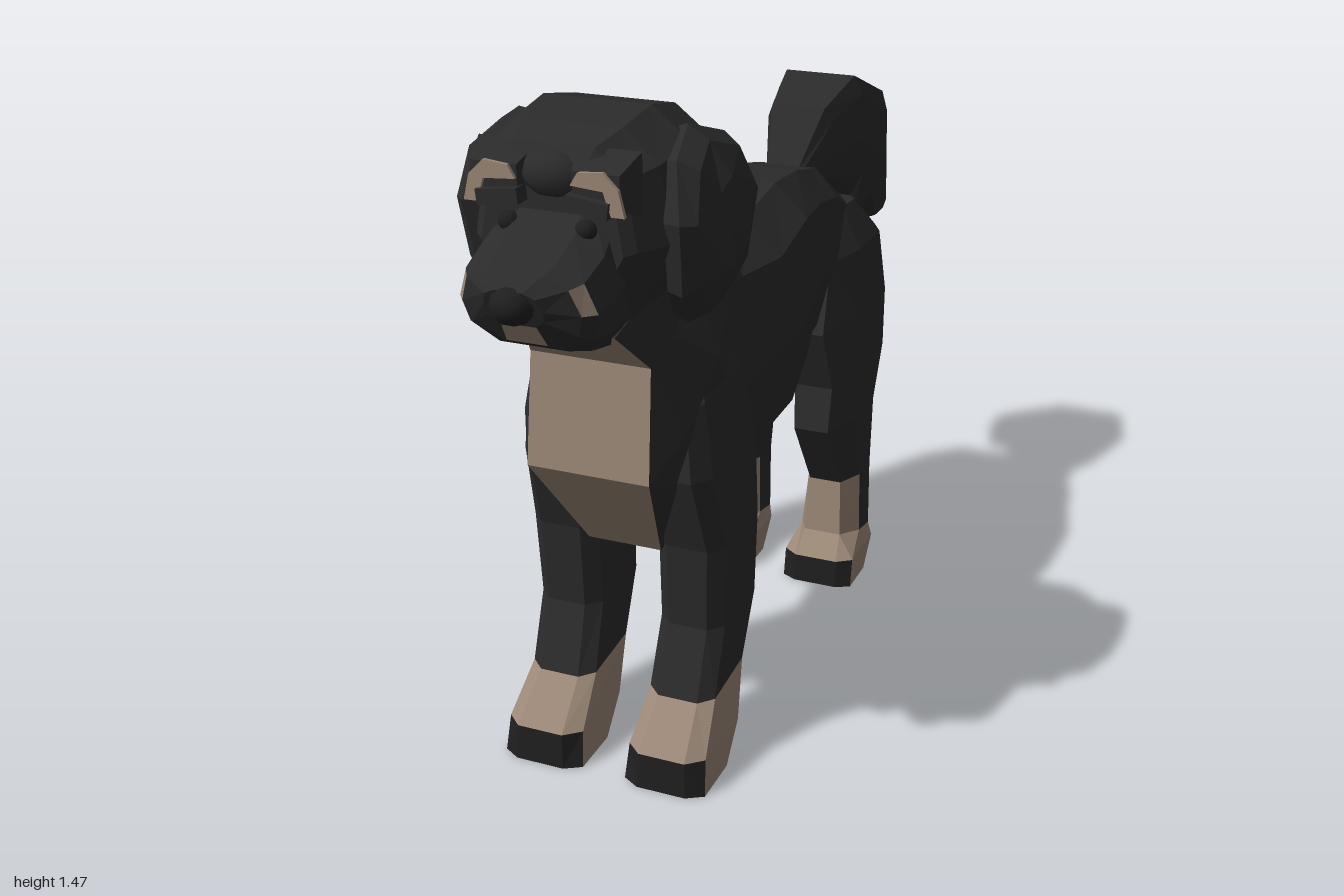
import * as THREE from 'three';

const mat = (name, color) => Object.assign(new THREE.MeshStandardMaterial({ color }), { name });

// Skin a list of rings (arrays of [x,y,z]) with flat facets. pick(segment, side) gives the
// material index; segment -1 and rings.length - 1 are the end caps.
function loft(name, rings, mats, pick = () => 0) {
  const n = rings[0].length, faces = [];
  const add = (m, ...p) => faces.push({ m, p });
  for (let i = 0; i < rings.length - 1; i++) {
    for (let k = 0; k < n; k++) {
      const a = rings[i][k], b = rings[i][(k + 1) % n], c = rings[i + 1][(k + 1) % n], d = rings[i + 1][k];
      add(pick(i, k), a, b, c);
      add(pick(i, k), a, c, d);
    }
  }
  const cap = (r, m, flip) => {
    const mid = [0, 1, 2].map(j => r.reduce((s, p) => s + p[j], 0) / n);
    r.forEach((p, k) => (flip ? add(m, mid, r[(k + 1) % n], p) : add(m, mid, p, r[(k + 1) % n])));
  };
  cap(rings[0], pick(-1, 0), true);
  cap(rings[rings.length - 1], pick(rings.length - 1, 0), false);
  // Signed volume tells whether the corners must be reversed
  let vol = 0;
  for (const { p: [a, b, c] } of faces) {
    vol += a[0] * (b[1] * c[2] - b[2] * c[1]) + a[1] * (b[2] * c[0] - b[0] * c[2]) + a[2] * (b[0] * c[1] - b[1] * c[0]);
  }
  const pos = [], g = new THREE.BufferGeometry();
  mats.forEach((_, m) => {
    const start = pos.length / 3;
    for (const f of faces) if (f.m === m) pos.push(...(vol < 0 ? [...f.p].reverse() : f.p).flat());
    g.addGroup(start, pos.length / 3 - start, m);
  });
  g.setAttribute('position', new THREE.Float32BufferAttribute(pos, 3));
  g.computeVertexNormals();
  const mesh = new THREE.Mesh(g, mats);
  mesh.name = name;
  return mesh;
}

// Ten-sided body section from a top point to a bottom point; side 4 is the underside strip
function slice([tz, ty, bz, by, w, flat = 0.6, low = 0.9, top = 0.45]) {
  const half = [[top, 0], [0.72 + 0.28 * top, 0.15], [1, 0.5], [low, 0.8], [flat, 1]];
  const all = [...half, ...half.map(([x, u]) => [-x, u]).reverse()];
  return all.map(([x, u]) => [x * w, ty + (by - ty) * u, tz + (bz - tz) * u]);
}

// Eight-sided leg section; side 0 faces forward. Rows are [backY, frontY, x0, x1, z0, z1]
function legRing([yb, yf, x0, x1, z0, z1], s, shoulder) {
  return [[0.2, 1], [0.8, 1], [1, shoulder], [1, 0.15], [0.8, 0], [0.2, 0], [0, 0.15], [0, shoulder]]
    .map(([u, v]) => [s * (x0 + (x1 - x0) * u), yb + (yf - yb) * v, z0 + (z1 - z0) * v]);
}

export function createModel() {
  const root = new THREE.Group();
  root.name = 'dog';
  const black = mat('blackFur', 0x2b2b2b);
  const tan = mat('tanFur', 0x9a8776);
  const dark = mat('darkSkin', 0x1f1f1f);
  const coat = [black, tan];

  // Body, chest and neck in one skin, with a tan underside
  root.add(loft('body', [
    [-0.67, 0.9, -0.66, 0.7, 0.1],
    [-0.6, 0.98, -0.5, 0.67, 0.15],
    [-0.45, 1.07, -0.35, 0.66, 0.16],
    [-0.3, 1.105, -0.2, 0.65, 0.17],
    [-0.12, 1.125, -0.1, 0.62, 0.2, 0.45],
    [0.08, 1.1, 0, 0.55, 0.21, 0.4],
    [0.2, 1.11, 0.28, 0.48, 0.17, 0.4],
    [0.25, 1.12, 0.52, 0.5, 0.185, 0.45],
    [0.27, 1.15, 0.685, 0.73, 0.2, 0.67],
    [0.31, 1.19, 0.66, 0.97, 0.148, 0.88, 0.98],
    [0.36, 1.27, 0.75, 1.06, 0.13, 0.75],
  ].map(slice), coat, (i, k) => (k === 4 && i >= 3 && i <= 9 ? 1 : 0)));

  // Skull, broad enough on top to run into the ears
  root.add(loft('head', [
    [0.29, 1.2, 0.29, 1.13, 0.1],
    [0.38, 1.37, 0.38, 1.07, 0.18],
    [0.48, 1.45, 0.48, 1.045, 0.215],
    [0.6, 1.475, 0.6, 1.04, 0.225],
    [0.71, 1.455, 0.71, 1.04, 0.205],
    [0.78, 1.435, 0.79, 1.06, 0.165],
    [0.8, 1.405, 0.81, 1.08, 0.145],
  ].map(r => slice([...r, 0.4, 0.64, 0.5])), [black]));

  // Muzzle with tan cheek marks and chin
  root.add(loft('muzzle', [
    [0.76, 1.345, 0.72, 1.035, 0.13],
    [0.84, 1.285, 0.82, 1.06, 0.145],
    [0.915, 1.25, 0.885, 1.08, 0.14, 0.5],
    [0.945, 1.24, 0.91, 1.095, 0.12, 0.35],
    [0.975, 1.215, 0.94, 1.14, 0.06],
  ].map(slice), coat, (i, k) => ((k === 4 && i === 3) || (i === 2 && (k === 1 || k === 7)) ? 1 : 0)));

  const blob = (name, m, r, x, y, z, sx, sy, sz) => {
    const mesh = new THREE.Mesh(new THREE.IcosahedronGeometry(r, 1), m);
    mesh.name = name;
    mesh.position.set(x, y, z);
    mesh.scale.set(sx, sy, sz);
    root.add(mesh);
  };
  blob('nose', dark, 0.044, 0, 1.185, 0.957, 1, 0.9, 0.98);
  blob('forehead', black, 0.06, 0, 1.38, 0.79, 1.05, 0.75, 0.6);

  // Arched tan mark above each eye
  const arch = new THREE.Shape([[0.055, 1.375], [0.07, 1.4], [0.12, 1.405], [0.15, 1.375], [0.162, 1.325],
    [0.135, 1.325], [0.12, 1.37]].map(p => new THREE.Vector2(...p)));

  for (const s of [1, -1]) {
    const side = s > 0 ? 'left' : 'right';
    blob(side + 'Eye', dark, 0.022, s * 0.078, 1.29, 0.818, 1, 0.95, 0.8);

    const marking = new THREE.Mesh(new THREE.ExtrudeGeometry(arch, { depth: 0.009, bevelEnabled: false }), tan);
    marking.name = side + 'BrowMark';
    marking.position.z = 0.823;
    // Mirror the right mark by turning it about the vertical axis
    if (s < 0) {
      marking.rotation.y = Math.PI;
      marking.position.z = 0.832;
    }
    root.add(marking);

    // Tapered fur pad carrying the mark, and the brow below it
    const padRing = (x0, x1, y0, y1, z) => [[x0, y0, z], [x1, y0, z], [x1, y1, z], [x0, y1, z]].map(([x, y]) => [s * x, y, z]);
    root.add(loft(side + 'BrowPad', [
      padRing(0.04, 0.165, 1.31, 1.43, 0.76),
      padRing(0.055, 0.15, 1.335, 1.4, 0.824),
    ], [black]));
    const brow = new THREE.Mesh(new THREE.BoxGeometry(0.085, 0.03, 0.05), black);
    brow.name = side + 'Brow';
    brow.position.set(s * 0.09, 1.34, 0.815);
    brow.rotation.z = -s * 0.12;
    root.add(brow);

    // Drooping ear: a padded outline that curls inward at top and tip
    const outline = [[0.46, 1.4], [0.58, 1.44], [0.69, 1.4], [0.735, 1.29], [0.7, 1.14],
      [0.63, 1.065], [0.52, 1.045], [0.41, 1.12], [0.375, 1.28]];
    root.add(loft(side + 'Ear', [[0.19, 0.95], [0.225, 1], [0.25, 0.84], [0.262, 0.48]].map(([x, f]) =>
      outline.map(([z, y]) => {
        const yy = 1.26 + (y - 1.26) * f;
        const curl = 0.25 * Math.max(0, 1.18 - yy) + 0.6 * Math.max(0, yy - 1.36);
        return [s * (x - curl), yy, 0.56 + (z - 0.56) * f];
      })), [black]));

    // Front leg with tan paw, dark toes and sole
    root.add(loft(side + 'FrontLeg', [
      [0.95, 0.93, 0.07, 0.165, 0.34, 0.54],
      [0.86, 0.86, 0.06, 0.195, 0.3, 0.58],
      [0.7, 0.7, 0.06, 0.213, 0.26, 0.59],
      [0.52, 0.52, 0.07, 0.222, 0.28, 0.53],
      [0.33, 0.33, 0.07, 0.215, 0.28, 0.52],
      [0.2, 0.18, 0.065, 0.215, 0.355, 0.57],
      [0.08, 0.09, 0.055, 0.23, 0.41, 0.665],
      [0.01, 0.01, 0.05, 0.235, 0.5, 0.67],
    ].map(r => legRing(r, s, 0.87)), [black, tan, dark], (i, k) => {
      if (i === 7 || (i === 6 && [0, 1, 7].includes(k))) return 2;
      return i >= 5 ? 1 : 0;
    }));

    // Hind leg: tan runs up the front of the hock
    root.add(loft(side + 'HindLeg', [
      [0.96, 0.97, 0.05, 0.13, -0.61, -0.42],
      [0.87, 0.87, 0.04, 0.185, -0.68, -0.33],
      [0.72, 0.72, 0.04, 0.205, -0.695, -0.24],
      [0.58, 0.56, 0.05, 0.21, -0.66, -0.3],
      [0.44, 0.45, 0.06, 0.205, -0.605, -0.28],
      [0.26, 0.27, 0.07, 0.205, -0.57, -0.385],
      [0.1, 0.13, 0.06, 0.215, -0.54, -0.37],
      [0.08, 0.08, 0.05, 0.23, -0.53, -0.315],
      [0.01, 0.01, 0.05, 0.23, -0.46, -0.31],
    ].map((r, i) => legRing(r, s, i < 7 ? 0.6 : 0.88)), [black, tan, dark], (i, k) => {
      const front = [0, 1, 7].includes(k);
      if (i === 8 || (i === 7 && front)) return 2;
      return i >= 6 || (i === 5 && front) ? 1 : 0;
    }));
  }

  // Bushy tail curling over and down
  root.add(loft('tail', [
    [-0.42, 1.07, -0.46, 1.02, 0.05],
    [-0.52, 1.2, -0.62, 0.96, 0.09],
    [-0.68, 1.25, -0.71, 0.93, 0.12],
    [-0.91, 1.16, -0.73, 0.87, 0.125],
    [-1, 0.85, -0.86, 0.82, 0.1],
  ].map(r => slice([...r, 0.65, 0.92, 0.75])), [black]));

  return root;
}
